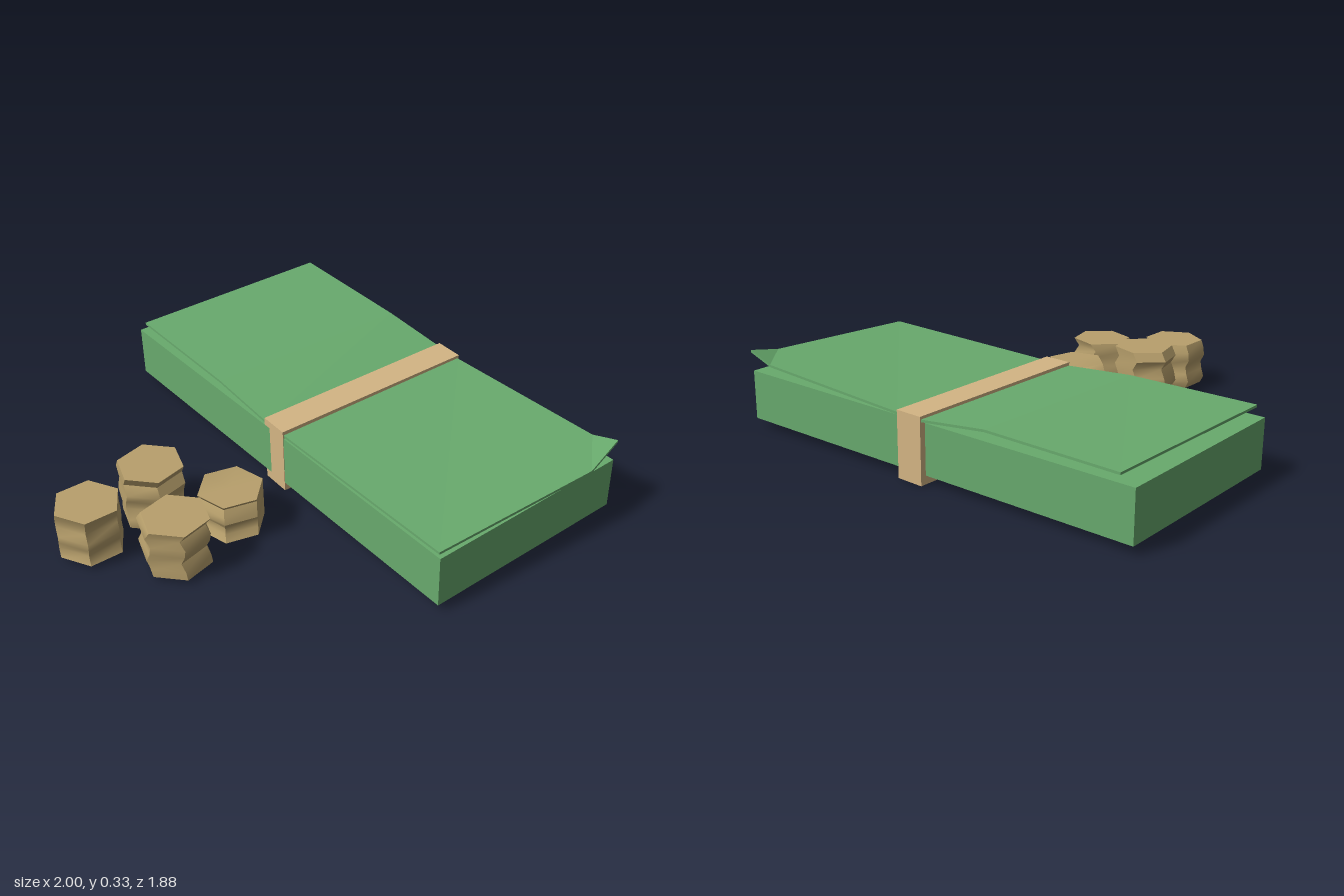
import * as THREE from 'three';
import { toCreasedNormals } from 'three/addons/utils/BufferGeometryUtils.js';

const GREEN = new THREE.MeshStandardMaterial({ color: 0x68aa6d });
const TAN = new THREE.MeshStandardMaterial({ color: 0xd4b584 });
const BRONZE = new THREE.MeshStandardMaterial({ color: 0xb8a06c });

function addBox(group, name, material, size, position, angle) {
  const mesh = new THREE.Mesh(new THREE.BoxGeometry(...size), material);
  mesh.name = name;
  mesh.position.set(...position);
  mesh.rotation.y = THREE.MathUtils.degToRad(angle);
  group.add(mesh);
}

// Thin closed sheet lofted between a front edge and a back edge
function sheetGeometry(front, back, thickness) {
  const pos = [];
  const tri = (...pts) => pts.forEach((p) => pos.push(...p));
  const low = (p) => [p[0], p[1] - thickness, p[2]];
  const wall = (a, b) => {
    tri(a, low(a), low(b));
    tri(a, low(b), b);
  };
  for (let i = 0; i < front.length - 1; i++) {
    const f0 = front[i], f1 = front[i + 1], b0 = back[i], b1 = back[i + 1];
    tri(f0, f1, b0);
    tri(f1, b1, b0);
    tri(low(f0), low(b0), low(f1));
    tri(low(f1), low(b0), low(b1));
    wall(f0, f1);
    wall(b1, b0);
  }
  wall(back[0], front[0]);
  wall(front[front.length - 1], back[back.length - 1]);
  const g = new THREE.BufferGeometry();
  g.setAttribute('position', new THREE.Float32BufferAttribute(pos, 3));
  g.computeVertexNormals();
  return g;
}

// Six-sided coin stack whose layers are shifted sideways
function coinStackGeometry(radius, height, angle, shiftX, shiftZ, phase) {
  const rows = 6;
  const start = THREE.MathUtils.degToRad(30 - angle);
  const g = new THREE.CylinderGeometry(radius, radius, height, 6, rows, false, start);
  const p = g.attributes.position;
  for (let i = 0; i < p.count; i++) {
    const row = Math.round((p.getY(i) / height + 0.5) * rows);
    const wave = row === rows ? 1 : Math.sin(row * 1.9 + phase);
    p.setX(i, p.getX(i) + shiftX * wave);
    p.setZ(i, p.getZ(i) + shiftZ * wave);
  }
  return toCreasedNormals(g, 0.9);
}

export function createModel() {
  const model = new THREE.Group();
  model.name = 'bundleAndCoins';

  // Stack of notes and the paper band around it
  addBox(model, 'noteStack', GREEN, [1.862, 0.205, 0.842], [-0.005, 0.1375, -0.04], -37.4);
  addBox(model, 'paperBand', TAN, [0.118, 0.27, 0.866], [0.024, 0.135, -0.032], -38.7);

  // Loose top note, pinched by the band, one corner curled up
  const front = [
    [-0.97, 0.285, -0.26], [-0.53, 0.28, 0.08], [-0.28, 0.255, 0.275],
    [-0.19, 0.255, 0.345], [0.475, 0.268, 0.86], [0.92, 0.288, 0.34],
  ];
  const back = [
    [-0.44, 0.288, -0.93], [0.01, 0.288, -0.57], [0.25, 0.258, -0.4],
    [0.34, 0.258, -0.325], [0.905, 0.288, 0.12], [0.997, 0.328, 0.19],
  ];
  const note = new THREE.Mesh(sheetGeometry(front, back, 0.01), GREEN);
  note.name = 'topNote';
  model.add(note);

  // Coin stacks: x, z, top height, vertex angle, layer shift x and z, phase
  const stacks = [
    [-0.63, 0.588, 0.245, -5, 0.011, 0.012, 0.4],
    [-0.332, 0.574, 0.18, 23, 0.004, 0.012, 1.6],
    [-0.778, 0.812, 0.215, 9, 0.007, 0.01, 2.7],
    [-0.458, 0.818, 0.215, -5, 0.012, 0.003, 0.9],
  ];
  stacks.forEach(([x, z, top, angle, sx, sz, phase], i) => {
    const height = top - 0.02;
    const coin = new THREE.Mesh(coinStackGeometry(0.123, height, angle, sx, sz, phase), BRONZE);
    coin.name = `coinStack${i + 1}`;
    coin.position.set(x, 0.02 + height / 2, z);
    model.add(coin);
  });

  return model;
}
